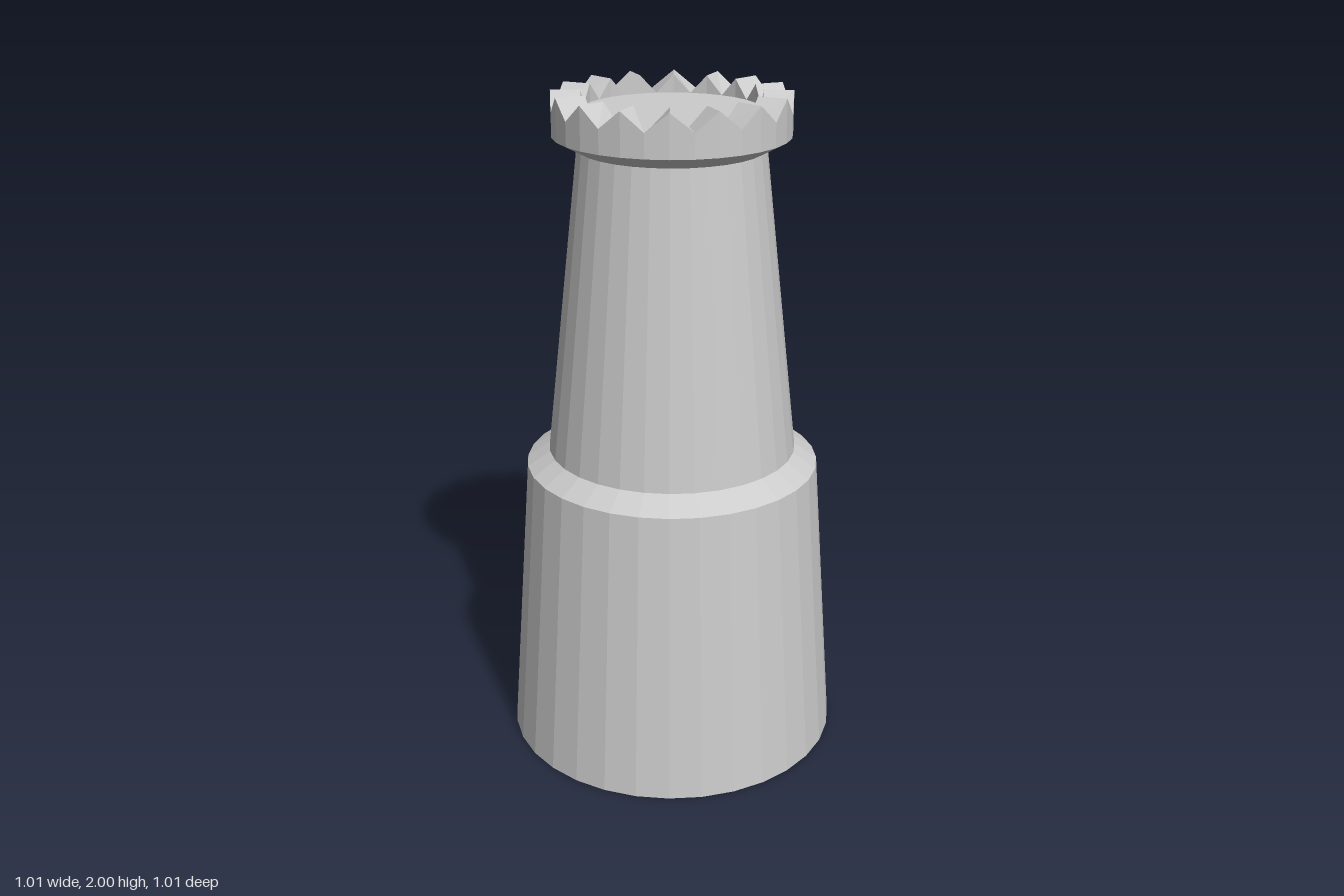
import * as THREE from 'three';

const SIDES = 32;
const TOOTH_HEIGHT = 0.053;
const VALLEY_Y = 2 - TOOTH_HEIGHT;

// Faceted solid of revolution; adjust() may move the lathe's vertices by ring and profile index
function turned(name, profile, material, adjust) {
  const lathe = new THREE.LatheGeometry(profile.map(([r, y]) => new THREE.Vector2(r, y)), SIDES);
  if (adjust) {
    const pos = lathe.attributes.position;
    for (let i = 0; i <= SIDES; i++) {
      for (let j = 0; j < profile.length; j++) adjust(pos, i * profile.length + j, i, j);
    }
  }
  const geometry = lathe.toNonIndexed();
  geometry.computeVertexNormals();
  const mesh = new THREE.Mesh(geometry, material);
  mesh.name = name;
  return mesh;
}

export function createModel() {
  const group = new THREE.Group();
  group.name = 'tower';
  const material = new THREE.MeshStandardMaterial({ color: 0xcccccc, flatShading: true });

  // Wide tapered base with a closed underside and a bevelled shoulder
  group.add(turned('base', [[0, 0], [0.507, 0], [0.44, 0.89], [0.372, 0.935]], material));

  // Narrower tapered neck
  group.add(turned('neck', [[0.372, 0.935], [0.27, 1.84]], material));

  // Flared crown: every second ring of the rim is raised, giving 16 pointed teeth round a flat floor
  const crown = [
    [0.27, 1.84], [0.34, 1.878],
    [0.34, VALLEY_Y], [0.255, VALLEY_Y], // outer and inner rim, raised at the teeth
    [0.255, VALLEY_Y], [0, VALLEY_Y],
  ];
  group.add(turned('crown', crown, material, (pos, index, ring, point) => {
    if (ring % 2 === 1 && (point === 2 || point === 3)) pos.setY(index, VALLEY_Y + TOOTH_HEIGHT);
  }));

  return group;
}
